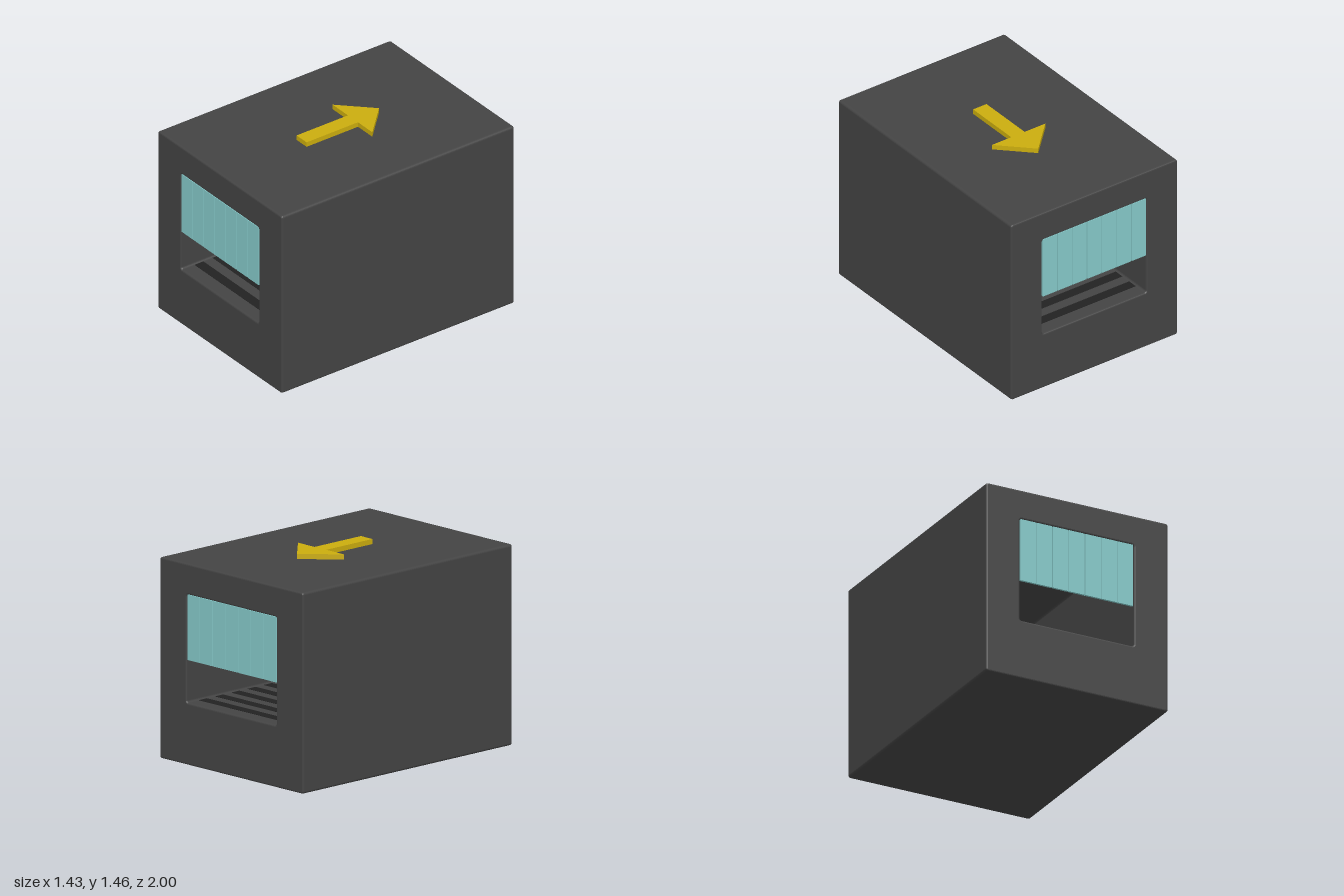
import * as THREE from 'three';

const paint = (color) => new THREE.MeshStandardMaterial({ color });

// Rounded rectangle outline, usable as a shape or a hole
function roundedRect(Type, x0, y0, x1, y1, r) {
  const p = new Type();
  p.absarc(x1 - r, y1 - r, r, 0, Math.PI / 2);
  p.absarc(x0 + r, y1 - r, r, Math.PI / 2, Math.PI);
  p.absarc(x0 + r, y0 + r, r, Math.PI, Math.PI * 1.5);
  p.absarc(x1 - r, y0 + r, r, Math.PI * 1.5, Math.PI * 2);
  p.closePath();
  return p;
}

export function createModel() {
  const model = new THREE.Group();
  const add = (name, geometry, material, parent = model) => {
    const mesh = new THREE.Mesh(geometry, material);
    mesh.name = name;
    parent.add(mesh);
    return mesh;
  };

  // Housing: a long box with a tunnel running right through it
  const bevel = 0.012;
  const outline = roundedRect(THREE.Shape, -0.713, 0, 0.713, 1.428, 0.018);
  outline.holes.push(roundedRect(THREE.Path, -0.448, 0.44, 0.446, 1.21, 0.016));
  const housing = new THREE.ExtrudeGeometry(outline, {
    depth: 2 - 2 * bevel, curveSegments: 4, bevelEnabled: true,
    bevelThickness: bevel, bevelSize: bevel, bevelOffset: -bevel, bevelSegments: 3,
  });
  housing.translate(0, 0, -1 + bevel);
  add('housing', housing, paint(0x444444));

  // Dark cross slats lying on the tunnel floor
  const floor = new THREE.Group();
  floor.name = 'conveyorFloor';
  model.add(floor);
  const slatMaterial = paint(0x222222);
  const slatGeometry = new THREE.BoxGeometry(0.87, 0.008, 0.075);
  for (let i = 0; i < 12; i++) {
    add('floorSlat', slatGeometry, slatMaterial, floor).position.set(0, 0.438, (i - 5.5) * 0.155);
  }

  // Strip curtains hanging in both openings
  const stripMaterial = paint(0x86caca);
  const stripGeometry = new THREE.BoxGeometry(0.121, 0.465, 0.016);
  for (const [name, side] of [['frontCurtain', 1], ['backCurtain', -1]]) {
    const curtain = new THREE.Group();
    curtain.name = name;
    model.add(curtain);
    for (let i = -3; i <= 3; i++) {
      add('curtainStrip', stripGeometry, stripMaterial, curtain)
        .position.set(-0.002 + i * 0.127, 0.9775, side * 0.99);
    }
  }

  // Direction arrow on the roof, pointing to the back
  const arrow = new THREE.Shape([
    [0.01, 0.363], [-0.22, 0.135], [-0.043, 0.135], [-0.043, -0.307],
    [0.072, -0.307], [0.072, 0.135], [0.237, 0.135],
  ].map(([x, y]) => new THREE.Vector2(x, y)));
  const arrowGeometry = new THREE.ExtrudeGeometry(arrow, { depth: 0.04, bevelEnabled: false });
  arrowGeometry.rotateX(-Math.PI / 2);
  arrowGeometry.translate(0, 1.424, 0);
  add('directionArrow', arrowGeometry, paint(0xcbad0e));

  return model;
}
